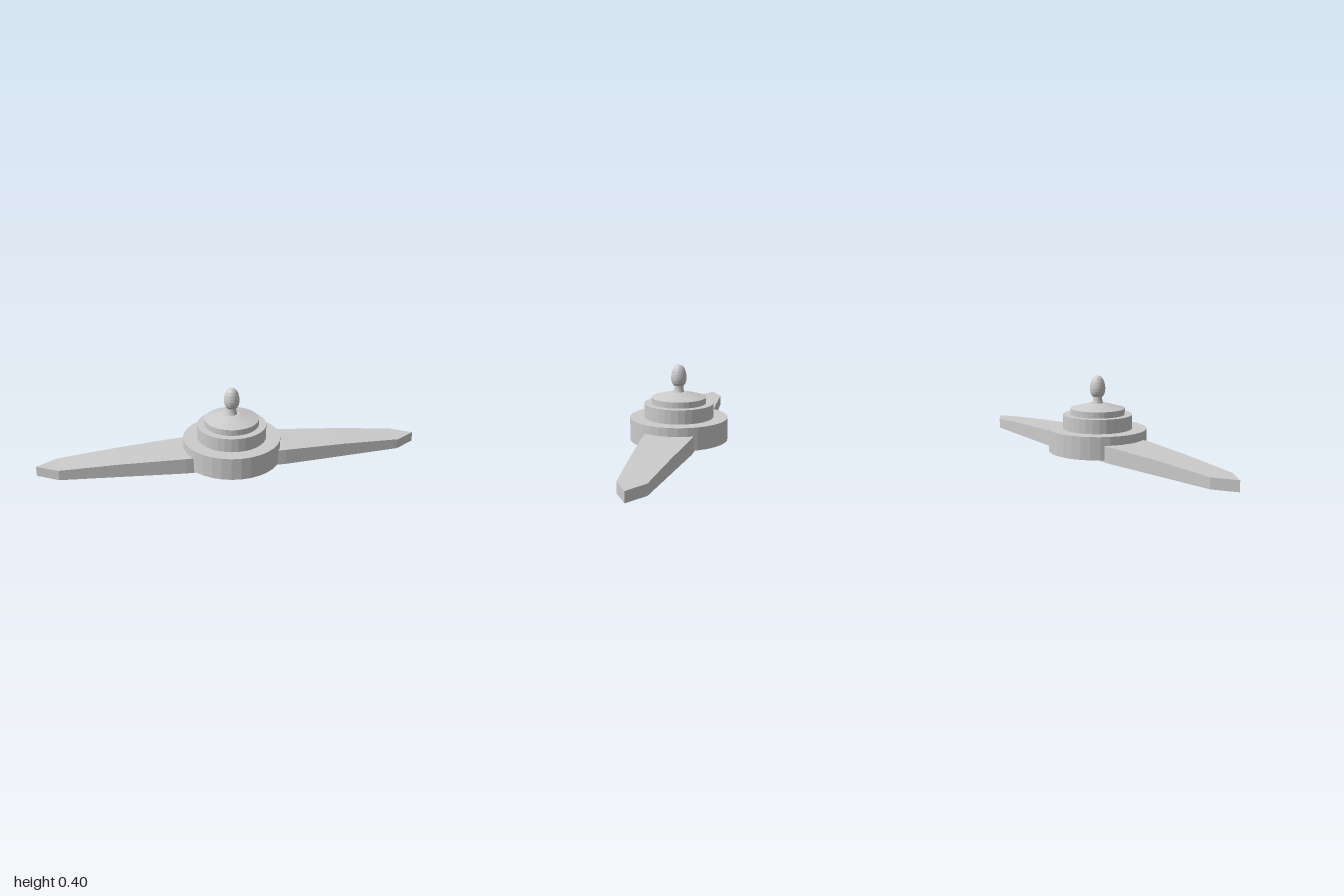
import * as THREE from 'three';

const material = new THREE.MeshStandardMaterial({ color: 0xcccccc, flatShading: true });

function add(group, name, geometry) {
  const mesh = new THREE.Mesh(geometry, material);
  mesh.name = name;
  group.add(mesh);
}

// Turned part from [radius, height] pairs, listed bottom to top
function turned(profile, sides) {
  return new THREE.LatheGeometry(profile.map(([r, y]) => new THREE.Vector2(r, y)), sides);
}

// Double-ended blade lofted through rectangular sections [x, half width, height]
function bladeGeometry() {
  const half = [[0.26, 0.122, 0.082], [0.58, 0.094, 0.071], [0.89, 0.067, 0.053], [1, 0, 0.052]];
  const sections = [...half].reverse().map(([x, w, h]) => [-x, w, h]).concat(half);
  const positions = [], index = [];
  for (const [x, w, h] of sections) {
    positions.push(x, 0, w, x, 0, -w, x, h, -w, x, h, w);
  }
  for (let i = 0; i < sections.length - 1; i++) {
    for (let j = 0; j < 4; j++) {
      const a = i * 4 + j, b = i * 4 + (j + 1) % 4;
      index.push(a, b, b + 4, a, b + 4, a + 4);
    }
  }
  const geometry = new THREE.BufferGeometry();
  geometry.setAttribute('position', new THREE.Float32BufferAttribute(positions, 3));
  geometry.setIndex(index);
  const flat = geometry.toNonIndexed();
  flat.computeVertexNormals();
  return flat;
}

export function createModel() {
  const group = new THREE.Group();
  group.name = 'bladedHub';

  add(group, 'blade', bladeGeometry());

  // Stepped round hub
  add(group, 'hubBase', turned([[0, 0.01], [0.252, 0.01], [0.252, 0.126], [0, 0.126]], 32));
  add(group, 'hubMiddle', turned([[0, 0.12], [0.178, 0.12], [0.178, 0.198], [0, 0.198]], 32));
  add(group, 'hubCap', turned([[0, 0.19], [0.14, 0.19], [0.14, 0.229], [0.042, 0.256], [0, 0.256]], 32));

  // Neck and egg-shaped knob
  add(group, 'neck', turned([[0, 0.25], [0.028, 0.256], [0.024, 0.272], [0.022, 0.289], [0, 0.289]], 24));
  add(group, 'knob', turned([
    [0, 0.289], [0.026, 0.289], [0.035, 0.303], [0.039, 0.318], [0.04, 0.332], [0.038, 0.349],
    [0.034, 0.366], [0.027, 0.381], [0.018, 0.391], [0.009, 0.395], [0, 0.396],
  ], 24));

  return group;
}
